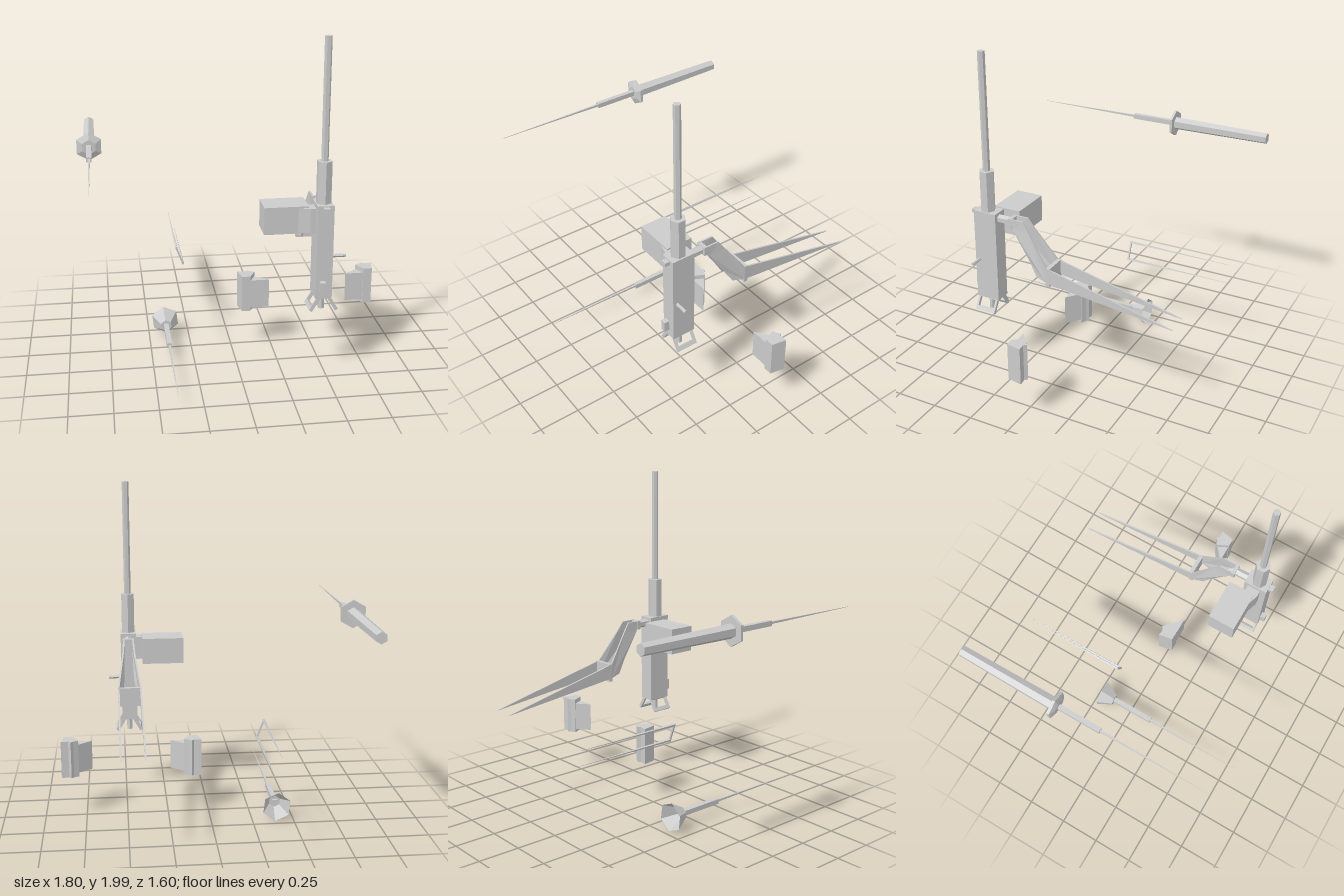
import * as THREE from 'three';

const mat = new THREE.MeshStandardMaterial({ color: 0xcccccc, flatShading: true, side: THREE.DoubleSide });

export function createModel() {
  const root = new THREE.Group();

  const add = (name, geo, x = 0, y = 0, z = 0, parent = root) => {
    const m = new THREE.Mesh(geo, mat);
    m.name = name;
    m.position.set(x, y, z);
    parent.add(m);
    return m;
  };

  // box from its minimum and maximum corners
  const box = (name, [x0, y0, z0], [x1, y1, z1], parent = root) =>
    add(name, new THREE.BoxGeometry(x1 - x0, y1 - y0, z1 - z0),
      (x0 + x1) / 2, (y0 + y1) / 2, (z0 + z1) / 2, parent);

  // faceted spindle along z; profile is [z, radius] from back to front
  const spindle = (name, sides, profile, parent, turn = 0) => {
    const geo = new THREE.LatheGeometry(profile.map(([z, r]) => new THREE.Vector2(r, z)), sides);
    geo.rotateX(Math.PI / 2);
    geo.rotateZ(turn);
    return add(name, geo, 0, 0, 0, parent);
  };

  const polygon = (pts) => new THREE.Shape(pts.map(([x, y]) => new THREE.Vector2(x, y)));
  const extrude = (shape, depth) => new THREE.ExtrudeGeometry(shape, { depth, bevelEnabled: false });

  // ---- main unit: body, sleeve and barrel
  const cx = 0.47, cz = 0.42;
  const unit = new THREE.Group();
  unit.name = 'mainUnit';
  root.add(unit);
  box('body', [0.423, 0.5, 0.345], [0.518, 1.06, 0.49], unit);
  add('sleeve', new THREE.CylinderGeometry(0.045, 0.045, 0.25, 6), cx, 1.18, cz, unit);
  const barrel = add('barrel', new THREE.CylinderGeometry(0.021, 0.021, 0.72, 6), cx, 1.64, cz, unit);
  barrel.rotation.y = Math.PI / 6;
  box('upperLug', [0.453, 1.03, 0.48], [0.49, 1.053, 0.52], unit);
  box('lowerLug', [0.443, 0.545, 0.48], [0.476, 0.61, 0.522], unit);
  const handle = add('sideHandle', new THREE.CylinderGeometry(0.01, 0.01, 0.1, 6), 0.548, 0.752, 0.462, unit);
  handle.rotation.z = Math.PI / 2;

  // side box and its neck
  box('sideBox', [0.13, 0.885, 0.265], [0.385, 1.045, 0.432], unit);
  const neck = extrude(polygon([[0.325, -0.432], [0.39, -0.452], [0.43, -0.452], [0.43, -0.37], [0.36, -0.37]]), 0.143);
  neck.rotateX(-Math.PI / 2);
  add('sideBoxNeck', neck, 0, 0.892, 0, unit);

  // splayed foot loops with a short post between them
  const loop = polygon([[-0.065, -0.095], [0.065, -0.095], [0.065, 0], [-0.065, 0]]);
  loop.holes.push(polygon([[-0.052, -0.07], [-0.052, -0.015], [0.052, -0.015], [0.052, -0.07]]));
  for (const s of [-1, 1]) {
    const geo = extrude(loop, 0.02);
    geo.translate(0, 0, -0.01);
    geo.rotateY(Math.PI / 2);
    const foot = add('footLoop', geo, cx + 0.003 + s * 0.028, 0.505, cz, unit);
    foot.rotation.z = s * 0.54;
  }
  add('bottomPost', new THREE.CylinderGeometry(0.019, 0.019, 0.09, 6), 0.472, 0.46, cz, unit);

  // ---- rear stub, hinge and pair of bent arms
  const stub = add('rearStub', new THREE.CylinderGeometry(0.026, 0.026, 0.09, 6), 0.473, 1.022, 0.305, unit);
  stub.rotation.x = Math.PI / 2;
  box('hinge', [0.437, 0.995, 0.245], [0.507, 1.048, 0.268], unit);

  const armOutline = [[0.265, 1.05], [0.17, 1.05], [0.13, 0.993], [0, 0.812], [-0.78, 0.632],
    [0, 0.72], [0.075, 0.735], [0.13, 0.822], [0.235, 0.985]];
  for (const s of [-1, 1]) {
    const geo = extrude(polygon(armOutline.map(([z, y]) => [-z, y])), 0.01);
    geo.rotateY(Math.PI / 2);
    const p = geo.attributes.position;
    for (let i = 0; i < p.count; i++) {
      // arms run parallel, splay apart, then run parallel again
      const t = THREE.MathUtils.clamp((0.15 - p.getZ(i)) / 0.15, 0, 1);
      p.setX(i, p.getX(i) - 0.005 + s * (0.029 + 0.037 * t));
    }
    geo.computeVertexNormals();
    add('rearArm', geo, 0.473, 0, 0, unit);
  }
  box('armCrossbar', [0.403, 0.7, -0.02], [0.543, 0.812, 0.005], unit);

  // ---- long rod with hexagonal guard and handle
  const q = Math.PI / 4;
  const rod = new THREE.Group();
  rod.name = 'guardedRod';
  rod.position.set(-0.83, 1.272, 0);
  root.add(rod);
  spindle('handle', 6, [[-0.8, 0], [-0.8, 0.034], [-0.18, 0.041]], rod);
  spindle('guard', 6, [[-0.188, 0], [-0.188, 0.084], [-0.172, 0.084], [-0.157, 0.045], [-0.157, 0]], rod);
  spindle('shaft', 4, [[-0.16, 0.021], [0.11, 0.021], [0.11, 0]], rod, q);
  spindle('needle', 4, [[0.1, 0.009], [0.78, 0.001]], rod, q);

  // ---- short rod ending in an open hexagonal funnel
  const dart = new THREE.Group();
  dart.name = 'funnelRod';
  dart.position.set(-0.396, 0.095, 0);
  root.add(dart);
  spindle('funnel', 6, [[-0.213, 0.09], [-0.12, 0.037], [-0.12, 0]], dart, 0.12);
  spindle('shaft', 4, [[-0.14, 0], [-0.14, 0.021], [0.16, 0.021], [0.16, 0]], dart, q);
  spindle('needle', 4, [[0.15, 0.009], [0.8, 0.001]], dart, q);

  // ---- two-pronged fork, tilted about z
  const fork = new THREE.Group();
  fork.name = 'fork';
  fork.position.set(-0.303, 0.567, 0);
  fork.rotation.z = 0.36;
  root.add(fork);
  box('forkBridge', [-0.005, -0.06, -0.125], [0.005, 0.06, -0.115], fork);
  for (const s of [-1, 1]) {
    const prong = spindle('prong', 4, [[-0.785, 0.001], [-0.115, 0.009], [-0.115, 0]], fork, q);
    prong.position.y = s * 0.055;
  }

  // ---- mirrored pair of wedge pieces with upright plates
  const plate = [[0.425, 0.03], [0.408, -0.06], [0.355, -0.06], [0.32, 0.012], [0.35, 0.028], [0.365, 0.042], [0.38, 0.025]];
  const wedge = [[0.24, -0.057], [0.335, 0.018], [0.37, -0.04], [0.37, -0.057]];
  for (const s of [-1, 1]) {
    const g = new THREE.Group();
    g.name = s > 0 ? 'leftWedge' : 'rightWedge';
    g.position.set(0.47, s * 0.006, 0);
    root.add(g);
    const slab = (name, pts, y0, y1) => {
      const geo = extrude(polygon(pts.map(([x, y]) => [s * x, y])), y1 - y0);
      geo.rotateX(-Math.PI / 2);
      add(name, geo, 0, y0, 0, g);
    };
    slab('uprightPlate', plate, 0.255, 0.484);
    slab('wedgeBlock', wedge, 0.276, 0.456);
  }

  return root;
}
